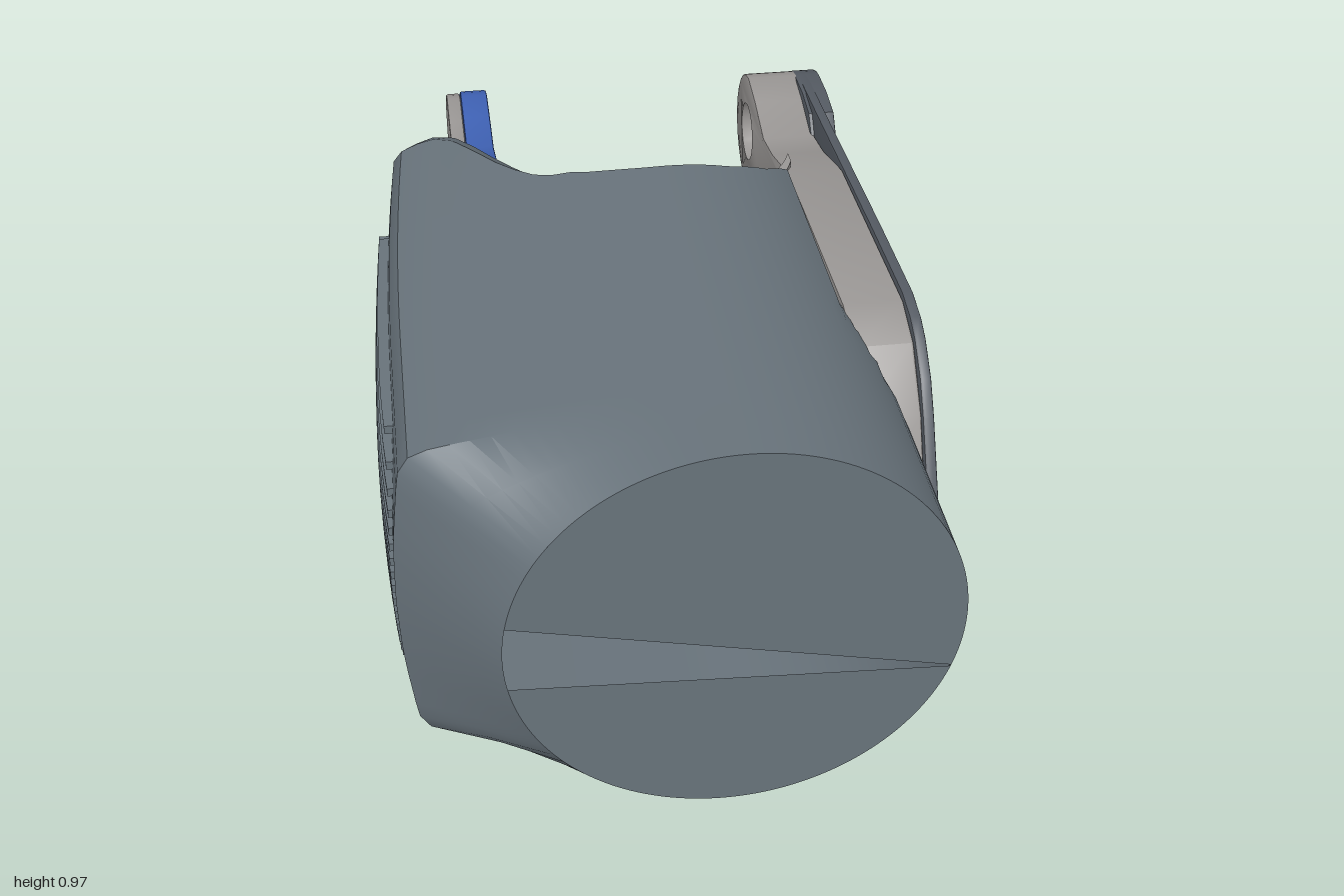
import * as THREE from 'three';
import { toCreasedNormals } from 'three/addons/utils/BufferGeometryUtils.js';

const CX = 0.08, CY = 0.487, R = 0.483;
const mat = (color) => new THREE.MeshStandardMaterial({ color, side: THREE.DoubleSide });
const { smoothstep, clamp, lerp } = THREE.MathUtils;

// piecewise linear lookup in [[x, value], ...]
function lookup(table, x) {
  if (x <= table[0][0]) return table[0][1];
  for (let i = 1; i < table.length; i++) {
    const [a, va] = table[i - 1], [b, vb] = table[i];
    if (x <= b) return lerp(va, vb, (x - a) / (b - a));
  }
  return table[table.length - 1][1];
}

// saddle-shaped rear end of the shell, with rounded lobe corners: z as a function of x and y
const REAR = [[-0.6, -0.38], [-0.57, -0.43], [-0.52, -0.5], [-0.45, -0.54], [-0.38, -0.52], [-0.29, -0.39],
  [-0.2, -0.27], [-0.1, -0.225], [0.07, -0.21], [0.25, -0.215], [0.35, -0.25], [0.43, -0.32]];
function rearZ(x, y) {
  const dy = Math.abs(y - CY), middle = smoothstep(x, -0.4, -0.1);
  const corner = 0.15 * (Math.max(0, dy - 0.32) / 0.1) ** 2;
  return lookup(REAR, x) + lerp(corner, 0.12 * (dy / R) ** 3, middle);
}

function gridGeometry(rows, keep = () => true) {
  const n = rows[0].length, index = [];
  for (let j = 0; j < rows.length - 1; j++) {
    for (let i = 0; i < n - 1; i++) {
      if (!keep(rows[j][i], rows[j + 1][i + 1])) continue;
      const a = j * n + i, b = a + 1, c = a + n, d = c + 1;
      index.push(a, c, b, b, c, d);
    }
  }
  const geo = new THREE.BufferGeometry();
  geo.setAttribute('position', new THREE.Float32BufferAttribute(rows.flat(2), 3));
  geo.setIndex(index);
  return toCreasedNormals(geo, 0.5);
}

// upper half outline from right to left: round on the right, boxy on the left
const SIDE = new THREE.CatmullRomCurve3([[0.08, 0.97], [-0.2, 0.938], [-0.4, 0.905], [-0.5, 0.889], [-0.55, 0.876],
  [-0.578, 0.845], [-0.592, 0.76], [-0.605, 0.63], [-0.61, CY]].map(([x, y]) => new THREE.Vector3(x, y, 0)),
false, 'centripetal');
const HALF = 48;
function outline(i, z) {
  const a = (i / HALF) * Math.PI;
  const cx = CX + R * Math.cos(a), cy = CY + R * Math.sin(a);
  if (i <= HALF / 2) return [Math.min(cx, lerp(0.425, 0.563, smoothstep(z, 0.25, 0.68))), cy];
  const p = SIDE.getPointAt((2 * i) / HALF - 1);
  const bow = p.x < -0.4 ? 0.045 * Math.max(0, 0.4 - z) ** 2 : 0;
  const w = clamp((1 - z) / 0.2, 0, 1);
  return [lerp(cx, p.x + bow, w), lerp(cy, p.y, w)];
}
function shellPoint(k, row) {
  const low = k > HALF, i = low ? 2 * HALF - k : k;
  const end = rearZ(...outline(i, -0.3));
  const z = row < 3 ? 1 - row * 0.1 : lerp(0.8, end, (row - 2) / 16);
  const [x, y] = outline(i, z);
  return [x, low ? 2 * CY - y : y, z];
}

// [z, y] points around the hinge tip, starting at the top
const tip = (r, from, to) => Array.from({ length: 15 }, (_, i) => {
  const a = THREE.MathUtils.degToRad(lerp(from, to, i / 14));
  return [-0.84 + r * Math.cos(a), 0.62 + r * Math.sin(a)];
});

// flat panel in the y-z plane, from [z, y] points, between two x values
function slab(name, pts, x0, x1, material, hole) {
  const shape = new THREE.Shape(pts.map(([z, y]) => new THREE.Vector2(-z, y)));
  if (hole) shape.holes.push(new THREE.Path().absarc(-hole[0], hole[1], hole[2], 0, Math.PI * 2, true));
  const b = 0.006;
  const geo = new THREE.ExtrudeGeometry(shape, {
    depth: x1 - x0 - 2 * b, bevelThickness: b, bevelSize: b, bevelOffset: -b, bevelSegments: 2, curveSegments: 24,
  });
  geo.rotateY(Math.PI / 2).translate(x0 + b, 0, 0);
  const mesh = new THREE.Mesh(toCreasedNormals(geo, 0.6), material);
  mesh.name = name;
  return mesh;
}

// curved flange that follows the saddle, from [x, z] points, between two heights
function wing(name, pts, y0, y1, material) {
  const curve = new THREE.SplineCurve(pts.map(([x, z]) => new THREE.Vector2(x, -z))).getPoints(12);
  const back = curve.map((p) => new THREE.Vector2(p.x, p.y - 0.04)).reverse();
  const geo = new THREE.ExtrudeGeometry(new THREE.Shape([...curve, ...back]), { depth: y1 - y0, bevelEnabled: false });
  geo.rotateX(-Math.PI / 2).translate(0, y0, 0);
  const mesh = new THREE.Mesh(toCreasedNormals(geo, 0.6), material);
  mesh.name = name;
  return mesh;
}

export function createModel() {
  const model = new THREE.Group();
  const slate = mat(0x68737b), dark = mat(0x555b63), light = mat(0x9a9795), blue = mat(0x3f62b5);
  const add = (name, geo, material) => {
    const mesh = new THREE.Mesh(geo, material);
    mesh.name = name;
    model.add(mesh);
    return mesh;
  };

  // outer shell
  const rings = [];
  for (let row = 0; row <= 18; row++) {
    rings.push(Array.from({ length: 2 * HALF + 1 }, (_, k) => shellPoint(k, row)));
  }
  add('shell', gridGeometry(rings), slate);

  // saddle closing the rear, with an opening behind the right flange
  const cap = [];
  for (let i = 0; i <= HALF; i++) {
    const [x, y, z] = shellPoint(i, 18);
    const shift = z - rearZ(x, y);
    cap.push(Array.from({ length: 25 }, (_, j) => {
      const yy = lerp(y, 2 * CY - y, j / 24);
      return [x, yy, rearZ(x, yy) + shift];
    }));
  }
  const closed = (p, q) => !(q[0] > -0.42 && p[0] < -0.12 && Math.abs((p[1] + q[1]) / 2 - 0.48) < 0.09);
  add('rearSaddle', gridGeometry(cap, closed), slate);

  // front disc in two halves with a wedge-shaped slit between them
  [['frontUpperHalf', -0.288, Math.PI - 0.173], ['frontLowerHalf', Math.PI + 0.18, 2 * Math.PI - 0.295]]
    .forEach(([name, a0, a1]) => {
      const shape = new THREE.Shape();
      shape.absarc(CX, CY, R, a0, a1, false);
      add(name, new THREE.ShapeGeometry(shape, 48), slate).position.z = 1;
    });

  // grille of bowed horizontal ribs on the side
  const grille = new THREE.Group();
  grille.name = 'sideGrille';
  for (let i = 0; i < 17; i++) {
    const y = CY + (i - 8) * 0.038, f = Math.abs(y - CY) / 0.36;
    const half = 0.52 * (1 - f ** 4) ** 0.5;
    const geo = new THREE.BoxGeometry(0.05, 0.02, 2 * half, 1, 1, 16).translate(-0.608 + 0.03 * f * f, y, 0.24);
    const pos = geo.attributes.position;
    for (let v = 0; v < pos.count; v++) {
      const z = pos.getZ(v);
      pos.setX(v, pos.getX(v) + 0.05 * Math.max(0, 0.4 - z) ** 2 + 0.12 * Math.max(0, z - 0.4) ** 2);
    }
    geo.computeVertexNormals();
    grille.add(new THREE.Mesh(geo, slate));
  }
  model.add(grille);

  // small stub behind the side pod
  const stub = add('rearStub', new THREE.CylinderGeometry(0.055, 0.065, 0.14, 24), slate);
  stub.rotation.x = -Math.PI / 2;
  stub.position.set(-0.45, 0.5, -0.53);

  // left cover plate with its hinge boss
  model.add(slab('coverPlate', [[0.72, 0.14], [0.72, 0.37], [0.55, 0.66], [0.5, 0.73], [0.43, 0.79], [0.38, 0.815],
    [0.3, 0.83], [0, 0.82], [-0.6, 0.79], ...tip(0.16, 95, 210), [-0.87, 0.38], [-0.83, 0.33],
    [-0.77, 0.26], [-0.69, 0.215], [-0.58, 0.19], [0, 0.17]], 0.57, 0.597, dark));
  model.add(slab('hingeBoss', [[-0.62, 0.72], [-0.66, 0.765], [-0.75, 0.78], ...tip(0.16, 95, 240), [-0.84, 0.45],
    [-0.76, 0.47], [-0.68, 0.55], [-0.64, 0.63]], 0.56, 0.63, dark));

  // left yoke arm, open underneath, with pivot eye and a flange on the saddle
  model.add(slab('leftYokeArm', [[0.64, 0.15], [0.64, 0.47], [0.54, 0.66], [0.43, 0.78], [0.32, 0.82], [-0.3, 0.8],
    [-0.5, 0.74], [-0.62, 0.72], [-0.75, 0.76], ...tip(0.16, 95, 300), [-0.66, 0.54], [-0.54, 0.5], [-0.44, 0.3],
    [-0.36, 0.21], [-0.3, 0.19], [-0.3, 0.74], [0.3, 0.77], [0.4, 0.73], [0.5, 0.63], [0.59, 0.46], [0.59, 0.15]],
  0.43, 0.57, light, [-0.84, 0.62, 0.085]));
  model.add(wing('leftFlange', [[0.45, -0.4], [0.42, -0.34], [0.36, -0.275], [0.27, -0.235]], 0.21, 0.8, light));

  // right yoke arm, its outer cap and its flange
  model.add(slab('rightYokeArm', [[-0.3, 0.83], [-0.42, 0.82], [-0.52, 0.78], [-0.62, 0.75], [-0.75, 0.77],
    ...tip(0.16, 95, 240), [-0.75, 0.42], [-0.55, 0.3], [-0.36, 0.25]], -0.362, -0.29, blue));
  model.add(slab('rightArmCap', [[-0.5, 0.77], [-0.62, 0.74], [-0.75, 0.76], ...tip(0.155, 95, 240),
    [-0.75, 0.43], [-0.62, 0.36], [-0.5, 0.42]], -0.4, -0.362, light));
  model.add(wing('rightFlange', [[-0.32, -0.44], [-0.28, -0.39], [-0.2, -0.29], [-0.12, -0.24]], 0.26, 0.83, blue));

  return model;
}
